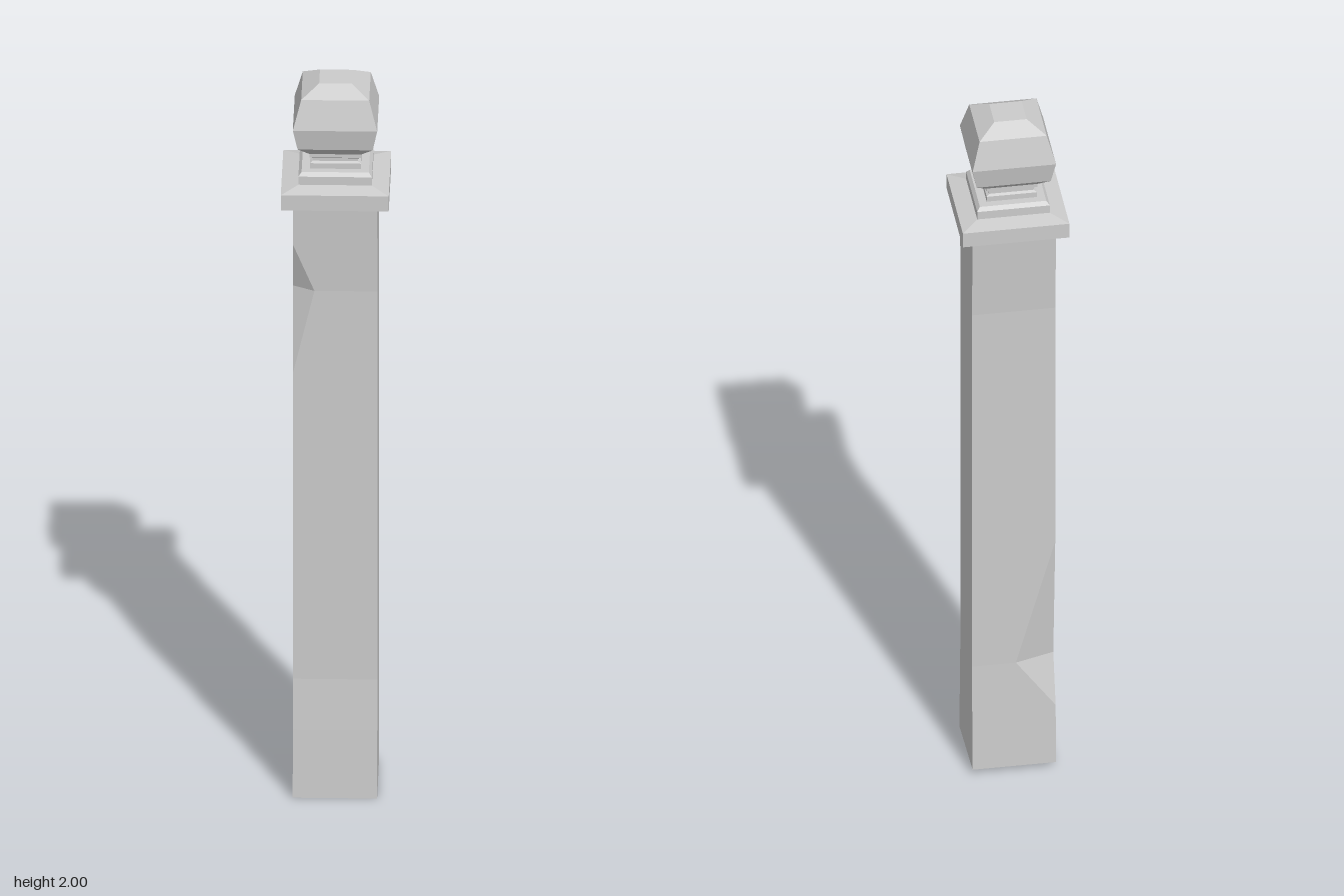
import * as THREE from 'three';

const material = new THREE.MeshStandardMaterial({ color: 0xcccccc, flatShading: true });
const HALF_X = 0.108;
const DEPTH_RATIO = 0.96; // the post is slightly shallower than wide

// Square-section turned part from a [halfWidth, y] profile, bottom to top.
function squareTurned(name, profile) {
  const points = profile.map(([half, y]) => new THREE.Vector2(half * Math.SQRT2, y));
  const geometry = new THREE.LatheGeometry(points, 4, Math.PI / 4)
    .scale(1, 1, DEPTH_RATIO)
    .toNonIndexed();
  geometry.computeVertexNormals();
  const mesh = new THREE.Mesh(geometry, material);
  mesh.name = name;
  mesh.position.z = -0.0015;
  return mesh;
}

// Shaft section: both left-hand corners may be chipped by [across, along z].
function section({ y, front, back, frontChip = [0, 0], backChip = [0, 0], backY = y }) {
  return [
    [-HALF_X + frontChip[0], y, front],
    [HALF_X, y, front],
    [HALF_X, backY, back],
    [-HALF_X + backChip[0], backY, back],
    [-HALF_X, backY, back + backChip[1]],
    [-HALF_X, y, front - frontChip[1]],
  ].map((p) => new THREE.Vector3(...p));
}

// Joins the sections with flat faces and closes both ends.
function loft(sections) {
  const positions = [];
  const triangle = (...corners) => {
    if (new THREE.Triangle(...corners).getArea() < 1e-8) return;
    corners.forEach((p) => positions.push(p.x, p.y, p.z));
  };
  const n = sections[0].length;
  for (let k = 0; k < sections.length - 1; k++) {
    const low = sections[k], high = sections[k + 1];
    for (let i = 0; i < n; i++) {
      const j = (i + 1) % n;
      triangle(low[i], low[j], high[i]);
      triangle(low[j], high[j], high[i]);
    }
  }
  const bottom = sections[0], top = sections[sections.length - 1];
  for (let i = 1; i < n - 1; i++) {
    triangle(bottom[0], bottom[i + 1], bottom[i]);
    triangle(top[0], top[i], top[i + 1]);
  }
  const geometry = new THREE.BufferGeometry();
  geometry.setAttribute('position', new THREE.Float32BufferAttribute(positions, 3));
  geometry.computeVertexNormals();
  return geometry;
}

export function createModel() {
  const post = new THREE.Group();
  post.name = 'fencePost';

  // Waisted shaft with a chip low on the back corner and one high on the front
  const shaft = new THREE.Mesh(loft([
    section({ y: 0, front: 0.11, back: -0.105, backY: 0.015 }),
    section({ y: 0.19, front: 0.1, back: -0.098 }),
    section({ y: 0.33, front: 0.092, back: -0.092, backChip: [0.102, 0.032] }),
    section({ y: 0.7, front: 0.092, back: -0.092 }),
    section({ y: 1.2, front: 0.092, back: -0.092 }),
    section({ y: 1.435, front: 0.092, back: -0.092, frontChip: [0.055, 0.03] }),
    section({ y: 1.57, front: 0.099, back: -0.1 }),
    section({ y: 1.685, front: 0.105, back: -0.107 }),
  ]), material);
  shaft.name = 'shaft';
  post.add(shaft);

  // Overhanging plate with a gently sloping top, and the step above it
  post.add(squareTurned('capPlate', [
    [0, 1.682], [0.138, 1.682], [0.138, 1.725], [0.094, 1.735], [0, 1.735],
  ]));
  post.add(squareTurned('capStep', [
    [0, 1.73], [0.094, 1.73], [0.094, 1.758], [0.086, 1.768], [0, 1.768],
  ]));

  // Narrow neck with a small groove
  post.add(squareTurned('neck', [
    [0, 1.765], [0.065, 1.768], [0.065, 1.783], [0.058, 1.787],
    [0.058, 1.795], [0.066, 1.8], [0.066, 1.81], [0, 1.81],
  ]));

  // Faceted finial
  post.add(squareTurned('finial', [
    [0, 1.808], [0.064, 1.808], [0.096, 1.836], [0.108, 1.895],
    [0.087, 1.973], [0.042, 2], [0, 2],
  ]));

  return post;
}
